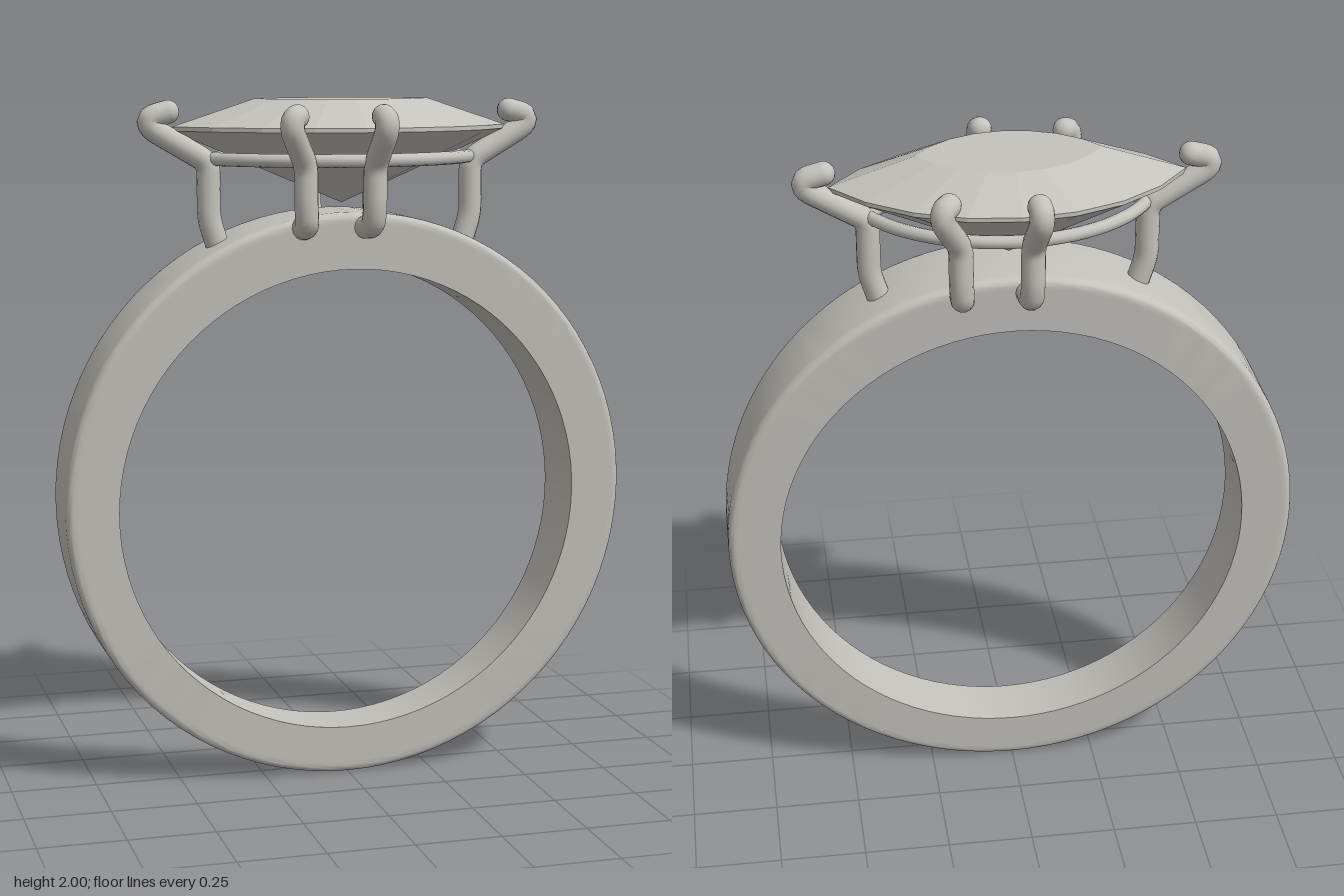
import * as THREE from 'three';
import { toCreasedNormals } from 'three/addons/utils/BufferGeometryUtils.js';

const metal = new THREE.MeshStandardMaterial({ color: 0xc4c2bc });
metal.name = 'pale grey';

function add(parent, name, geometry) {
  const mesh = new THREE.Mesh(geometry, metal);
  mesh.name = name;
  parent.add(mesh);
  return mesh;
}

// Pointed oval outline made of two circular arcs, n points per arc
function marquise(a, b, y, n) {
  const R = (a * a + b * b) / (2 * b);
  const phi = Math.asin(a / R);
  const pts = [];
  for (const side of [1, -1]) {
    for (let i = 0; i < n; i++) {
      const t = phi * (1 - (2 * i) / n);
      pts.push(new THREE.Vector3(side * R * Math.sin(t), y, side * (R * Math.cos(t) - (R - b))));
    }
  }
  return pts;
}

// Band: rounded outer edges, wider and thicker towards the top
function bandGeometry() {
  const ro = 0.84, ri = 0.688, w = 0.11, f = 0.022;
  const profile = [new THREE.Vector2(ri, -w), new THREE.Vector2(ro - f - 0.01, -w)];
  for (const s of [-1, 1]) {
    for (let i = 0; i <= 5; i++) {
      const t = ((s < 0 ? i - 5 : i) / 5) * (Math.PI / 2);
      profile.push(new THREE.Vector2(ro - f + f * Math.cos(t), s * (w - f) + f * Math.sin(t)));
    }
  }
  profile.push(new THREE.Vector2(ro - f - 0.01, w), new THREE.Vector2(ri, w), new THREE.Vector2(ri, -w));
  const g = new THREE.LatheGeometry(profile, 96);
  g.rotateX(Math.PI / 2);
  const p = g.attributes.position;
  for (let i = 0; i < p.count; i++) {
    const inner = Math.hypot(p.getX(i), p.getY(i)) < ri + 0.01;
    const y = p.getY(i) + ro - (inner ? 0.011 : 0);
    p.setY(i, y);
    p.setZ(i, (p.getZ(i) / w) * (0.08 + (0.067 * y) / 1.68));
  }
  return toCreasedNormals(g, 0.5);
}

// Stone: flat facets between table, girdle and culet
function stoneGeometry() {
  const n = 8, levels = [
    [0, 0, 2.0], [0.26, 0.15, 2.0], [0.5, 0.277, 1.922], [0.5, 0.277, 1.91], [0, 0, 1.7],
  ];
  const rings = levels.map(([a, b, y]) => (a ? marquise(a, b, y, n)
    : Array.from({ length: 2 * n }, () => new THREE.Vector3(0, y, 0))));
  const pts = [];
  for (let k = 0; k < levels.length - 1; k++) {
    const u = rings[k], l = rings[k + 1];
    for (let i = 0; i < 2 * n; i++) {
      const j = (i + 1) % (2 * n);
      if (levels[k][0]) pts.push(u[i], u[j], l[i]);
      if (levels[k + 1][0]) pts.push(u[j], l[j], l[i]);
    }
  }
  const g = new THREE.BufferGeometry().setFromPoints(pts);
  g.computeVertexNormals();
  return g;
}

// Straight runs joined by small rounded bends
function bentPath(points, r) {
  const v = points.map((p) => new THREE.Vector3(...p));
  const path = new THREE.CurvePath();
  let from = v[0];
  for (let i = 1; i < v.length - 1; i++) {
    const cut = (q) => {
      const d = q.clone().sub(v[i]);
      return v[i].clone().addScaledVector(d, Math.min(0.45, r / d.length()));
    };
    const a = cut(v[i - 1]), b = cut(v[i + 1]);
    path.add(new THREE.LineCurve3(from, a));
    path.add(new THREE.QuadraticBezierCurve3(a, v[i], b));
    from = b;
  }
  path.add(new THREE.LineCurve3(from, v[v.length - 1]));
  return path;
}

// Prong: bent wire with rounded ends
function prong(name, points) {
  const radius = 0.034;
  const group = new THREE.Group();
  group.name = name;
  add(group, 'prongWire', new THREE.TubeGeometry(bentPath(points, 0.03), 48, radius, 14));
  for (const p of [points[0], points[points.length - 1]]) {
    add(group, 'prongTip', new THREE.SphereGeometry(radius, 14, 10)).position.set(...p);
  }
  return group;
}

export function createModel() {
  const model = new THREE.Group();
  model.name = 'ring';
  add(model, 'band', bandGeometry());
  add(model, 'stone', stoneGeometry());

  // Support wire under the stone, one tube per arc
  const arcs = marquise(0.395, 0.225, 1.83, 12);
  for (const start of [0, 12]) {
    const pts = Array.from({ length: 13 }, (_, i) => arcs[(start + i) % 24]);
    add(model, 'supportWire', new THREE.TubeGeometry(new THREE.CatmullRomCurve3(pts), 40, 0.019, 10));
  }

  // Three prongs, repeated by a half turn
  const prongs = {
    endProng: [[0.37, 1.58, 0], [0.395, 1.66, 0], [0.395, 1.82, 0], [0.565, 1.92, 0],
      [0.568, 1.95, 0], [0.512, 1.964, 0]],
    outerSideProng: [[-0.15, 1.635, 0.12], [-0.155, 1.645, 0.2], [-0.16, 1.7, 0.208], [-0.16, 1.815, 0.208],
      [-0.215, 1.915, 0.265], [-0.212, 1.948, 0.262], [-0.195, 1.955, 0.245]],
    middleSideProng: [[0.032, 1.635, 0.12], [0.034, 1.645, 0.215], [0.035, 1.7, 0.23], [0.035, 1.815, 0.23],
      [0.046, 1.915, 0.31], [0.046, 1.948, 0.307], [0.043, 1.955, 0.285]],
  };
  for (const turn of [0, Math.PI]) {
    for (const [name, points] of Object.entries(prongs)) {
      const p = prong(name, points);
      p.rotation.y = turn;
      model.add(p);
    }
  }
  return model;
}
